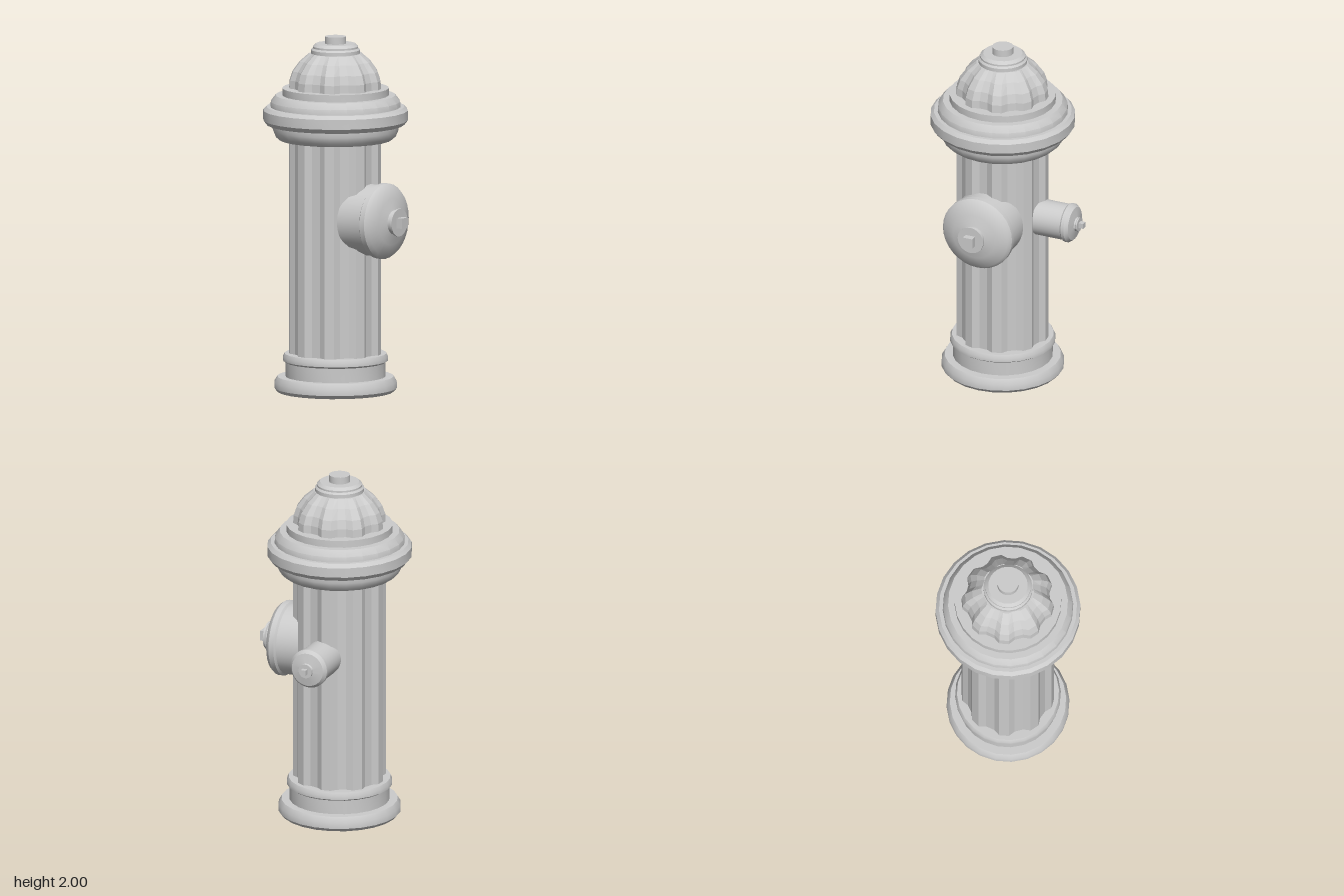
import * as THREE from 'three';
import { toCreasedNormals } from 'three/addons/utils/BufferGeometryUtils.js';

const CX = -0.035, CZ = 0.045, NOZZLE_Y = 0.985;

const grey = (extra = {}) => new THREE.MeshStandardMaterial({ color: 0xcccccc, ...extra });

function addPart(parent, name, geometry, material = grey()) {
  const mesh = new THREE.Mesh(geometry, material);
  mesh.name = name;
  parent.add(mesh);
  return mesh;
}

// Turned part from [radius, height] pairs, listed bottom to top
function turned(points, segments = 24) {
  const profile = points.map(([r, y]) => new THREE.Vector2(r, y));
  return toCreasedNormals(new THREE.LatheGeometry(profile, segments), 0.6);
}

// Nine flat ridges with hollow flutes between, lofted through [radius, height, valley ratio] rings
function fluted(rings) {
  const pos = [], index = [];
  const n = 36;
  const addCentre = (y) => pos.push(0, y, 0);
  for (const [r, y, valley] of rings) {
    for (let f = 0; f < 9; f++) {
      [[-6, 1], [6, 1], [14, valley], [26, valley]].forEach(([deg, k]) => {
        const a = THREE.MathUtils.degToRad(7 - f * -40 + deg);
        pos.push(-Math.sin(a) * r * k, y, -Math.cos(a) * r * k);
      });
    }
  }
  const last = rings.length - 1;
  for (let j = 0; j < last; j++) {
    for (let i = 0; i < n; i++) {
      const a = j * n + i, b = j * n + (i + 1) % n;
      index.push(a, b, b + n, a, b + n, a + n);
    }
  }
  // End faces
  const low = rings.length * n, high = low + 1;
  addCentre(rings[0][1]);
  addCentre(rings[last][1]);
  for (let i = 0; i < n; i++) {
    const k = (i + 1) % n;
    index.push(low, k, i, high, last * n + i, last * n + k);
  }
  const g = new THREE.BufferGeometry();
  g.setAttribute('position', new THREE.Float32BufferAttribute(pos, 3));
  g.setIndex(index);
  const flat = g.toNonIndexed();
  flat.computeVertexNormals();
  return flat;
}

// Outlet built along +y from the hydrant's axis, with a square nut on its end
function outlet(name, profile, nutSize, nutStart, nutEnd) {
  const group = new THREE.Group();
  group.name = name;
  addPart(group, name + 'Cap', turned(profile, 32));
  const nut = new THREE.BoxGeometry(nutSize, nutEnd - nutStart, nutSize);
  addPart(group, name + 'Nut', nut).position.y = (nutStart + nutEnd) / 2;
  group.position.y = NOZZLE_Y;
  return group;
}

export function createModel() {
  const model = new THREE.Group();
  model.name = 'fireHydrant';
  const body = new THREE.Group();
  body.name = 'body';
  body.position.set(CX, 0, CZ);
  model.add(body);

  // Hollow foot, open underneath
  addPart(body, 'base', turned([
    [0.325, 0], [0.343, 0.02], [0.343, 0.055], [0.325, 0.085], [0.28, 0.085],
    [0.28, 0.165], [0.295, 0.175], [0.295, 0.195], [0.285, 0.215], [0.22, 0.215],
  ]), grey({ side: THREE.DoubleSide }));

  // Fluted barrel
  addPart(body, 'barrel', fluted([[0.26, 0.2, 0.91], [0.26, 1.415, 0.91]]),
    grey({ flatShading: true }));

  // Stepped brim
  addPart(body, 'brim', turned([
    [0, 1.42], [0.315, 1.42], [0.338, 1.44], [0.352, 1.475], [0.352, 1.505],
    [0.385, 1.505], [0.405, 1.53], [0.405, 1.585], [0.386, 1.605], [0.365, 1.605],
    [0.362, 1.635], [0.335, 1.67], [0.298, 1.67], [0.298, 1.71], [0, 1.71],
  ]));

  // Fluted dome
  addPart(body, 'dome', fluted([
    [0.26, 1.7, 0.91], [0.257, 1.755, 0.91], [0.24, 1.805, 0.91],
    [0.2, 1.86, 0.92], [0.148, 1.905, 0.95],
  ]), grey({ flatShading: true }));

  // Collar and round operating nut
  addPart(body, 'collar', turned([
    [0.12, 1.895], [0.137, 1.905], [0.137, 1.925], [0.127, 1.935], [0.127, 1.945],
    [0.11, 1.96], [0, 1.96],
  ]));
  addPart(body, 'topNut', turned([[0.059, 1.95], [0.059, 2], [0, 2]]));

  // Large outlet on the left
  const large = outlet('largeOutlet', [
    [0.2, 0.1], [0.2, 0.3], [0.212, 0.31], [0.212, 0.34], [0.195, 0.362],
    [0.13, 0.385], [0.078, 0.397], [0.068, 0.4], [0.068, 0.42], [0.078, 0.425],
    [0.078, 0.435], [0, 0.435],
  ], 0.058, 0.43, 0.472);
  large.rotation.z = -Math.PI / 2;
  body.add(large);

  // Small outlet at the back
  const small = outlet('smallOutlet', [
    [0.103, 0.15], [0.103, 0.395], [0.111, 0.405], [0.111, 0.422], [0.095, 0.442],
    [0.04, 0.453], [0.036, 0.46], [0.04, 0.465], [0.04, 0.472], [0, 0.472],
  ], 0.03, 0.47, 0.5);
  small.rotation.x = -Math.PI / 2;
  body.add(small);

  return model;
}
